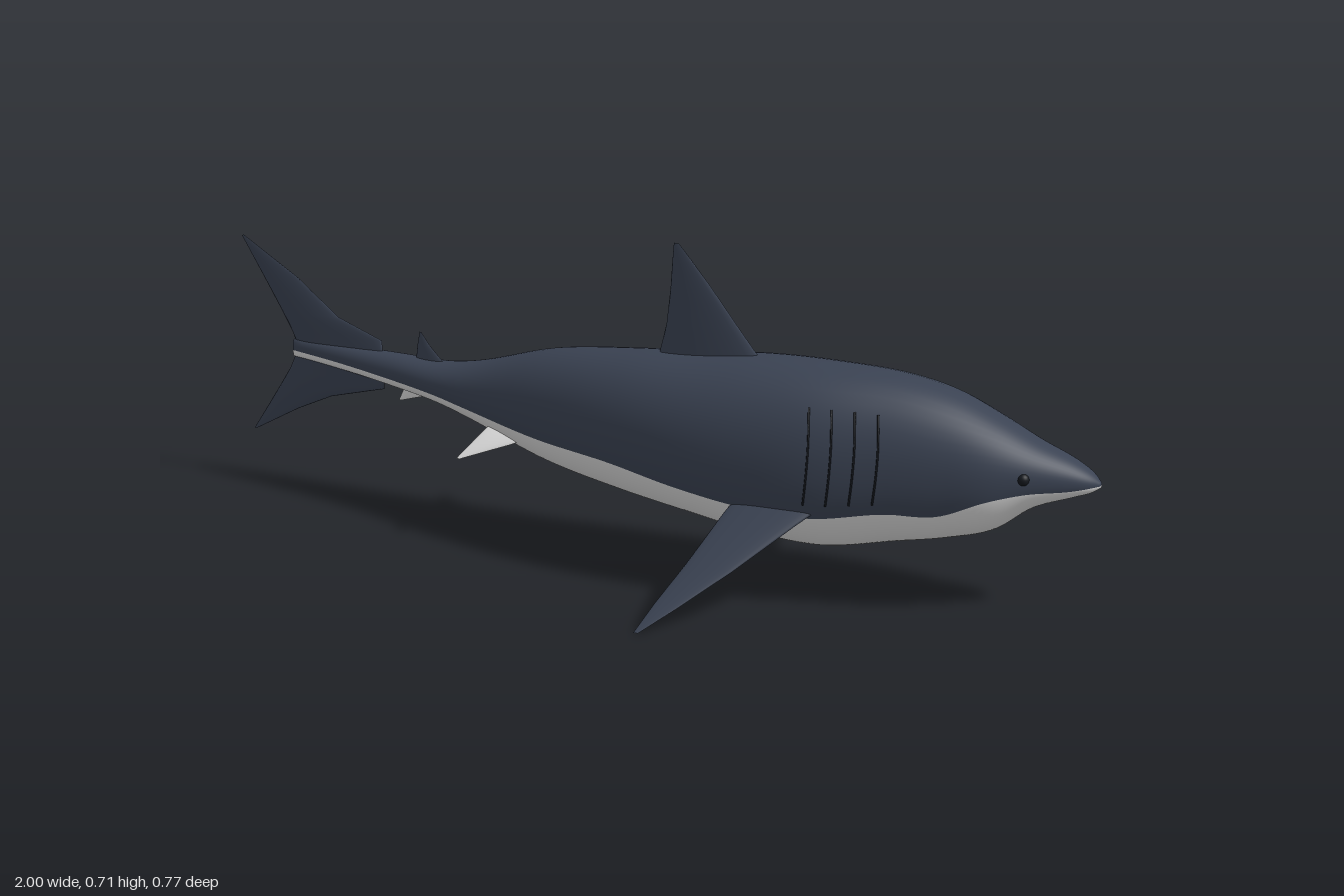
import * as THREE from 'three';

const V = (x, y, z) => new THREE.Vector3(x, y, z);

// Body stations: x, spine z, half width, top y, bottom y, colour line y
const STATIONS = [
  [-0.875, -0.127, 0.008, 0.342, 0.302, 0.318],
  [-0.75, -0.116, 0.022, 0.347, 0.292, 0.312],
  [-0.60, -0.101, 0.038, 0.350, 0.275, 0.300],
  [-0.48, -0.085, 0.052, 0.352, 0.259, 0.289],
  [-0.40, -0.073, 0.063, 0.366, 0.240, 0.278],
  [-0.20, -0.042, 0.098, 0.428, 0.185, 0.256],
  [0.00, -0.015, 0.126, 0.460, 0.155, 0.246],
  [0.15, -0.006, 0.142, 0.474, 0.135, 0.222],
  [0.30, -0.006, 0.149, 0.489, 0.111, 0.202],
  [0.45, -0.013, 0.148, 0.490, 0.102, 0.196],
  [0.60, -0.034, 0.134, 0.476, 0.126, 0.217],
  [0.70, -0.046, 0.121, 0.450, 0.144, 0.218],
  [0.80, -0.053, 0.100, 0.404, 0.175, 0.258],
  [0.87, -0.062, 0.075, 0.366, 0.226, 0.273],
  [0.95, -0.079, 0.044, 0.326, 0.254, 0.276],
  [0.985, -0.085, 0.023, 0.302, 0.266, 0.280],
  [1.00, -0.086, 0.006, 0.287, 0.276, 0.281],
];
const spline = new THREE.CubicInterpolant(STATIONS.map(s => s[0]), STATIONS.flatMap(s => s.slice(1)), 5);

function sectionAt(x) {
  const [z, hw, top, bottom, line] = spline.evaluate(x);
  return { x, z, hw, cy: (top + bottom) / 2, hh: (top - bottom) / 2, line };
}

// Slightly squared ellipse; angle 0 is the back, positive towards +z
const POWER = 2.15;
const spow = (v, e) => Math.sign(v) * Math.abs(v) ** e;
function skin(s, angle, lift = 0) {
  return V(s.x,
    s.cy + (s.hh + lift) * spow(Math.cos(angle), 2 / POWER),
    s.z + (s.hw + lift) * spow(Math.sin(angle), 2 / POWER));
}
function lineAngle(s) {
  const v = THREE.MathUtils.clamp((s.line - s.cy) / s.hh, -0.98, 0.98);
  return Math.acos(spow(v, POWER / 2));
}

// Joins closed rings; the columns before "split" form group 0, the rest group 1
function loft(rings, split) {
  const n = rings[0].length;
  const index = [];
  const addColumns = (from, to) => {
    for (let i = 0; i < rings.length - 1; i++) {
      for (let j = from; j < to; j++) {
        const a = i * n + j, b = i * n + (j + 1) % n;
        index.push(a, b, a + n, b, b + n, a + n);
      }
    }
  };
  const geometry = new THREE.BufferGeometry().setFromPoints(rings.flat());
  addColumns(0, split);
  const count = index.length;
  addColumns(split, n);
  geometry.setIndex(index);
  geometry.addGroup(0, count, 0);
  geometry.addGroup(count, index.length - count, 1);
  geometry.computeVertexNormals();
  return geometry;
}

function bodyGeometry() {
  const half = 28, steps = 110;
  const rings = [];
  for (let i = 0; i <= steps; i++) {
    const u = i / steps;
    const s = sectionAt(-0.875 + 1.875 * (1 - (1 - u) ** 1.4));
    const a = lineAngle(s);
    const ring = [];
    for (let j = 0; j < half; j++) ring.push(skin(s, -a + 2 * a * j / half));
    for (let j = 0; j < half; j++) ring.push(skin(s, a + 2 * (Math.PI - a) * j / half));
    rings.push(ring);
  }
  // Close both ends
  const collapse = ring => {
    const c = ring.reduce((sum, p) => sum.add(p), V(0, 0, 0)).divideScalar(ring.length);
    return ring.map(() => c.clone());
  };
  rings.unshift(collapse(rings[0]));
  rings.push(collapse(rings[rings.length - 1]));
  return loft(rings, half);
}

// Fin from [leading point, trailing point, half thickness] sections, root to tip
function finGeometry(sections) {
  const mid = s => s[0].clone().add(s[1]).multiplyScalar(0.5);
  const span = mid(sections[sections.length - 1]).sub(mid(sections[0]));
  const normal = span.cross(sections[0][0].clone().sub(sections[0][1])).normalize();
  const sides = 20;
  const rings = sections.map(s => {
    const chord = s[0].clone().sub(s[1]).multiplyScalar(0.5);
    return Array.from({ length: sides }, (_, j) => {
      const t = 2 * Math.PI * j / sides;
      return mid(s).addScaledVector(chord, Math.cos(t)).addScaledVector(normal, s[2] * Math.sin(t));
    });
  });
  return loft(rings, sides);
}

// Upright fin on the spine: [lead x, lead y, trail x, trail y, half thickness]
function uprightFin(rows) {
  const at = (x, y) => V(x, y, sectionAt(x).z);
  return finGeometry(rows.map(r => [at(r[0], r[1]), at(r[2], r[3]), r[4]]));
}

export function createModel() {
  const model = new THREE.Group();
  model.name = 'shark';
  const material = (name, color) => {
    const m = new THREE.MeshStandardMaterial({ color });
    m.name = name;
    return m;
  };
  const slate = material('slate back', 0x3a4252);
  const white = material('pale belly', 0xdcdcdc);
  const black = material('dark detail', 0x15181e);
  const add = (name, geometry, mat) => {
    const mesh = new THREE.Mesh(geometry, mat);
    mesh.name = name;
    model.add(mesh);
    return mesh;
  };

  add('body', bodyGeometry(), [slate, white]);

  // Upright fins
  add('dorsalFin', uprightFin([
    [0.33, 0.44, 0.05, 0.43, 0.016], [0.285, 0.488, 0.064, 0.465, 0.014],
    [0.24, 0.545, 0.08, 0.53, 0.010], [0.18, 0.622, 0.089, 0.61, 0.006],
    [0.135, 0.675, 0.093, 0.67, 0.003], [0.108, 0.705, 0.096, 0.706, 0.0005],
  ]), slate);
  add('secondDorsalFin', uprightFin([
    [-0.47, 0.33, -0.56, 0.33, 0.006], [-0.485, 0.354, -0.552, 0.35, 0.005],
    [-0.515, 0.382, -0.548, 0.38, 0.003], [-0.538, 0.41, -0.542, 0.41, 0.0005],
  ]), slate);
  add('analFin', uprightFin([
    [-0.51, 0.29, -0.58, 0.29, 0.006], [-0.53, 0.264, -0.588, 0.27, 0.004],
    [-0.595, 0.243, -0.6, 0.244, 0.0005],
  ]), white);
  add('upperTailLobe', uprightFin([
    [-0.64, 0.335, -0.868, 0.33, 0.008], [-0.642, 0.373, -0.877, 0.356, 0.007],
    [-0.755, 0.410, -0.902, 0.402, 0.005], [-0.86, 0.487, -0.944, 0.474, 0.003],
    [-0.995, 0.570, -1.0, 0.568, 0.0005],
  ]), slate);
  add('lowerTailLobe', uprightFin([
    [-0.64, 0.315, -0.868, 0.315, 0.008], [-0.638, 0.262, -0.886, 0.275, 0.007],
    [-0.78, 0.222, -0.915, 0.228, 0.005], [-0.87, 0.179, -0.944, 0.182, 0.003],
    [-0.98, 0.117, -0.985, 0.118, 0.0005],
  ]), slate);

  // Paired parts
  for (const [side, label] of [[1, 'left'], [-1, 'right']]) {
    add(label + 'PectoralFin', finGeometry([
      [V(0.475, 0.22, side * 0.10), V(0.29, 0.22, side * 0.10), 0.011],
      [V(0.435, 0.19, side * 0.14), V(0.272, 0.19, side * 0.14), 0.009],
      [V(0.335, 0.108, side * 0.245), V(0.232, 0.108, side * 0.245), 0.006],
      [V(0.25, 0.045, side * 0.325), V(0.197, 0.045, side * 0.325), 0.003],
      [V(0.187, 0.001, side * 0.383), V(0.177, 0.001, side * 0.383), 0.0005],
    ]), slate);

    const z = -0.06;
    add(label + 'PelvicFin', finGeometry([
      [V(-0.22, 0.24, z + side * 0.045), V(-0.335, 0.25, z + side * 0.045), 0.007],
      [V(-0.27, 0.222, z + side * 0.075), V(-0.35, 0.23, z + side * 0.075), 0.005],
      [V(-0.375, 0.187, z + side * 0.115), V(-0.382, 0.188, z + side * 0.115), 0.0005],
    ]), white);

    const head = sectionAt(0.865);
    const eye = add(label + 'Eye', new THREE.SphereGeometry(0.013, 20, 14), black);
    eye.position.copy(skin(head, side * 1.45, -0.006));

    // Gill slits hugging the flank
    for (let g = 0; g < 4; g++) {
      const points = [];
      for (let k = 0; k <= 10; k++) {
        const x = 0.44 + g * 0.046 + 0.01 * Math.sin(Math.PI * k / 10);
        points.push(skin(sectionAt(x), side * (0.85 + k * 0.105), 0.0005));
      }
      add(label + 'GillSlit', new THREE.TubeGeometry(new THREE.CatmullRomCurve3(points), 24, 0.0022, 6), black);
    }
  }
  return model;
}
